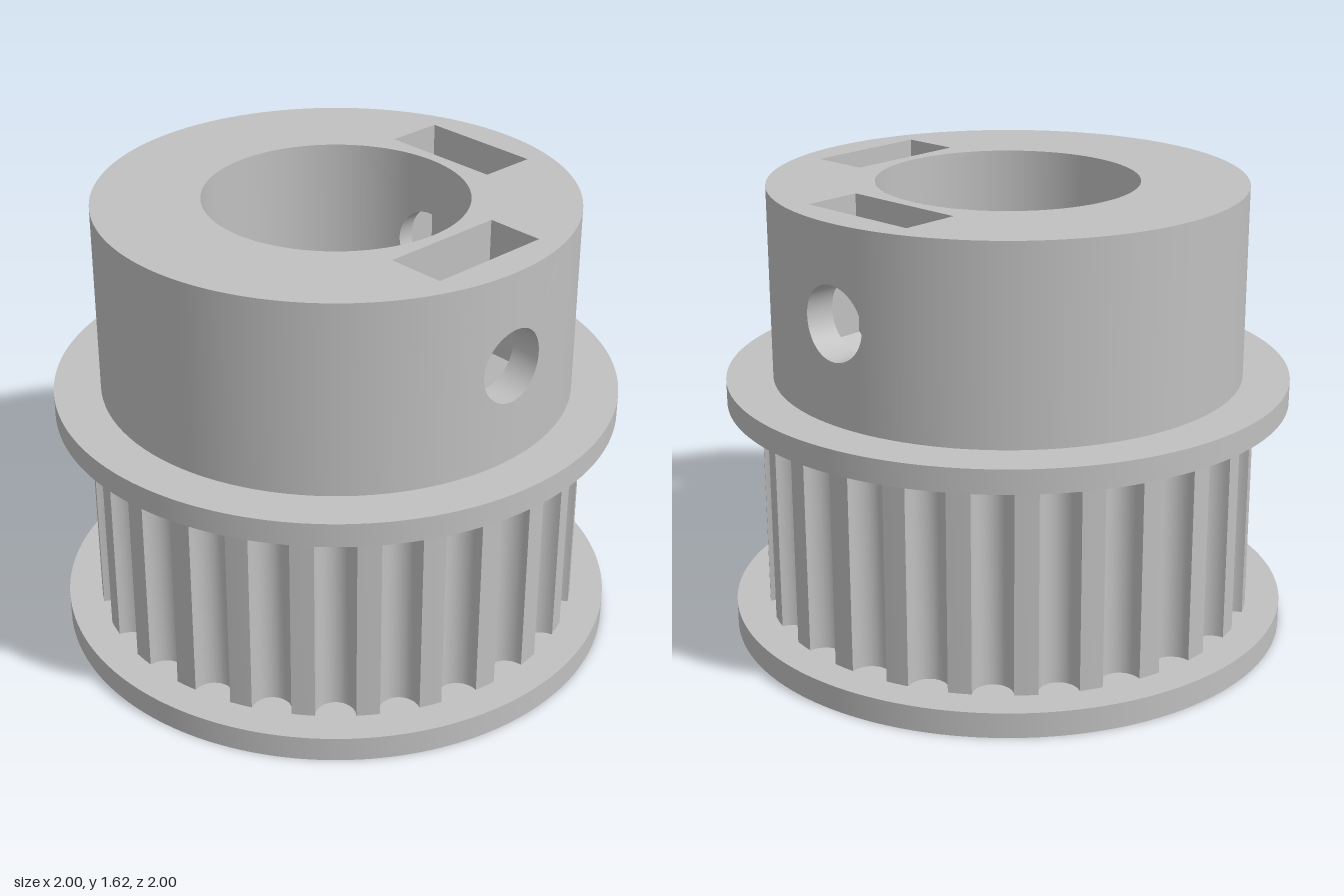
import * as THREE from 'three';
import { toCreasedNormals } from 'three/addons/utils/BufferGeometryUtils.js';

const BORE = 0.46, HUB = 0.835, RIM = 1, TOOTH_R = 0.88, TEETH = 25;
const HUB_Y = 0.94, TOP = 1.625;
const HOLE_Y = 1.29, HOLE_R = 0.13;
const SLOT_IN = 0.505, SLOT_OUT = 0.715, SLOT_W = 0.23;
const PATCH_W = 0.27, N = 64;

// Surface through rows of points (each row an array of Vector3)
function loft(rows) {
  const n = rows[0].length, index = [];
  for (let i = 0; i < rows.length - 1; i++) {
    for (let j = 0; j < n - 1; j++) {
      const a = i * n + j, b = a + n;
      index.push(a, b, a + 1, b, b + 1, a + 1);
    }
  }
  const g = new THREE.BufferGeometry().setFromPoints(rows.flat());
  g.setIndex(index);
  return toCreasedNormals(g, 0.5);
}

// Vertical extrusion of a ground-plan shape with the bore cut out
function slab(shape, y0, y1) {
  shape.holes.push(new THREE.Path().absarc(0, 0, BORE, 0, Math.PI * 2, true));
  const g = new THREE.ExtrudeGeometry(shape, { depth: y1 - y0, bevelEnabled: false, curveSegments: 96 });
  g.rotateX(-Math.PI / 2).translate(0, y0, 0);
  return toCreasedNormals(g, 0.5);
}

const disc = (r) => new THREE.Shape().absarc(0, 0, r, 0, Math.PI * 2, false);

// Belt teeth: narrow lands separated by round-bottomed grooves
function toothShape() {
  const pts = [], pitch = Math.PI * 2 / TEETH, half = 0.07, depth = 0.075;
  const edge = Math.asin(half / TOOTH_R), rim = TOOTH_R * Math.cos(edge);
  for (let i = 0; i < TEETH; i++) {
    const a = i * pitch, c = Math.cos(a), s = Math.sin(a);
    for (let k = 0; k <= 12; k++) {
      const t = Math.PI * k / 12;
      const r = rim - depth * Math.sin(t), v = -half * Math.cos(t);
      pts.push(new THREE.Vector2(r * c - v * s, r * s + v * c));
    }
    const mid = a + pitch / 2;
    pts.push(new THREE.Vector2(TOOTH_R * Math.cos(mid), TOOTH_R * Math.sin(mid)));
  }
  return new THREE.Shape(pts);
}

// Piece of cylinder wall around a screw hole, facing +x
function holedWall(R) {
  const rows = [];
  for (let i = 0; i <= 10; i++) {
    const row = [];
    for (let j = 0; j <= N; j++) {
      const t = Math.PI * 2 * j / N, c = Math.cos(t), s = Math.sin(t);
      const m = Math.max(Math.abs(c), Math.abs(s)), f = i / 10;
      const v = THREE.MathUtils.lerp(HOLE_R * c, PATCH_W * c / m, f);
      const y = THREE.MathUtils.lerp(HOLE_R * s, (s > 0 ? TOP - HOLE_Y : HOLE_Y - HUB_Y) * s / m, f);
      row.push(new THREE.Vector3(Math.sqrt(R * R - v * v), HOLE_Y + y, -v));
    }
    rows.push(row);
  }
  return loft(R === BORE ? rows.reverse() : rows);
}

// Screw hole lining between two places along x
function holeLining(xFrom, xTo) {
  return loft([xFrom, xTo].map((x) => Array.from({ length: N + 1 }, (_, j) => {
    const t = Math.PI * 2 * j / N, v = HOLE_R * Math.cos(t);
    return new THREE.Vector3(x(v), HOLE_Y + HOLE_R * Math.sin(t), -v);
  })));
}

export function createModel() {
  const model = new THREE.Group();
  const grey = new THREE.MeshStandardMaterial({ color: 0xc0c0c0, side: THREE.DoubleSide });
  grey.name = 'grey';
  const add = (parent, name, geometry) => {
    const mesh = new THREE.Mesh(geometry, grey);
    mesh.name = name;
    parent.add(mesh);
  };

  // Flanges and toothed belt track
  add(model, 'lowerFlange', slab(disc(RIM), 0, 0.09));
  add(model, 'beltTeeth', slab(toothShape(), 0.09, 0.855));
  add(model, 'upperFlange', slab(disc(RIM), 0.855, HUB_Y));

  // Hub top with two nut slot openings
  const hub = new THREE.Group();
  hub.name = 'hub';
  model.add(hub);
  const top = disc(HUB);
  const rect = (x0, y0, x1, y1) => new THREE.Path([[x0, y0], [x0, y1], [x1, y1], [x1, y0]]
    .map(([x, y]) => new THREE.Vector2(x, y)));
  top.holes.push(
    new THREE.Path().absarc(0, 0, BORE, 0, Math.PI * 2, true),
    rect(SLOT_IN, -SLOT_W, SLOT_OUT, SLOT_W),
    rect(-SLOT_W, SLOT_IN, SLOT_W, SLOT_OUT));
  add(hub, 'hubTop', new THREE.ShapeGeometry(top, 96).rotateX(-Math.PI / 2).translate(0, TOP, 0));

  // Plain parts of the outer wall and the bore, between the screw holes
  for (const [name, R] of [['hubWall', HUB], ['boreWall', BORE]]) {
    const a = Math.asin(PATCH_W / R);
    const line = [new THREE.Vector2(R, HUB_Y), new THREE.Vector2(R, TOP)];
    if (R === BORE) line.reverse();
    add(hub, name + 'Short', new THREE.LatheGeometry(line, 24, Math.PI / 2 + a, Math.PI / 2 - 2 * a));
    add(hub, name + 'Long', new THREE.LatheGeometry(line, 72, Math.PI + a, Math.PI * 1.5 - 2 * a));
  }

  // Screw hole with its nut slot, on the left and at the back
  const slotLine = [[-SLOT_W, TOP], [-SLOT_W, 1.138], [0, 1.006], [SLOT_W, 1.138], [SLOT_W, TOP]];
  for (const [name, turn] of [['leftScrewSeat', 0], ['backScrewSeat', Math.PI / 2]]) {
    const seat = new THREE.Group();
    seat.name = name;
    seat.rotation.y = turn;
    hub.add(seat);
    add(seat, 'outerWall', holedWall(HUB));
    add(seat, 'innerWall', holedWall(BORE));
    add(seat, 'outerHole', holeLining(() => SLOT_OUT, (v) => Math.sqrt(HUB * HUB - v * v)));
    add(seat, 'innerHole', holeLining((v) => Math.sqrt(BORE * BORE - v * v), () => SLOT_IN));
    add(seat, 'nutSlotSides', loft([SLOT_IN, SLOT_OUT].map((x) =>
      slotLine.map(([v, y]) => new THREE.Vector3(x, y, -v)))));
    const face = new THREE.Shape(slotLine.map(([v, y]) => new THREE.Vector2(v, y)));
    face.holes.push(new THREE.Path().absarc(0, HOLE_Y, HOLE_R, 0, Math.PI * 2, true));
    for (const x of [SLOT_IN, SLOT_OUT]) {
      add(seat, 'nutSlotFace', new THREE.ShapeGeometry(face, N).rotateY(Math.PI / 2).translate(x, 0, 0));
    }
  }
  return model;
}
